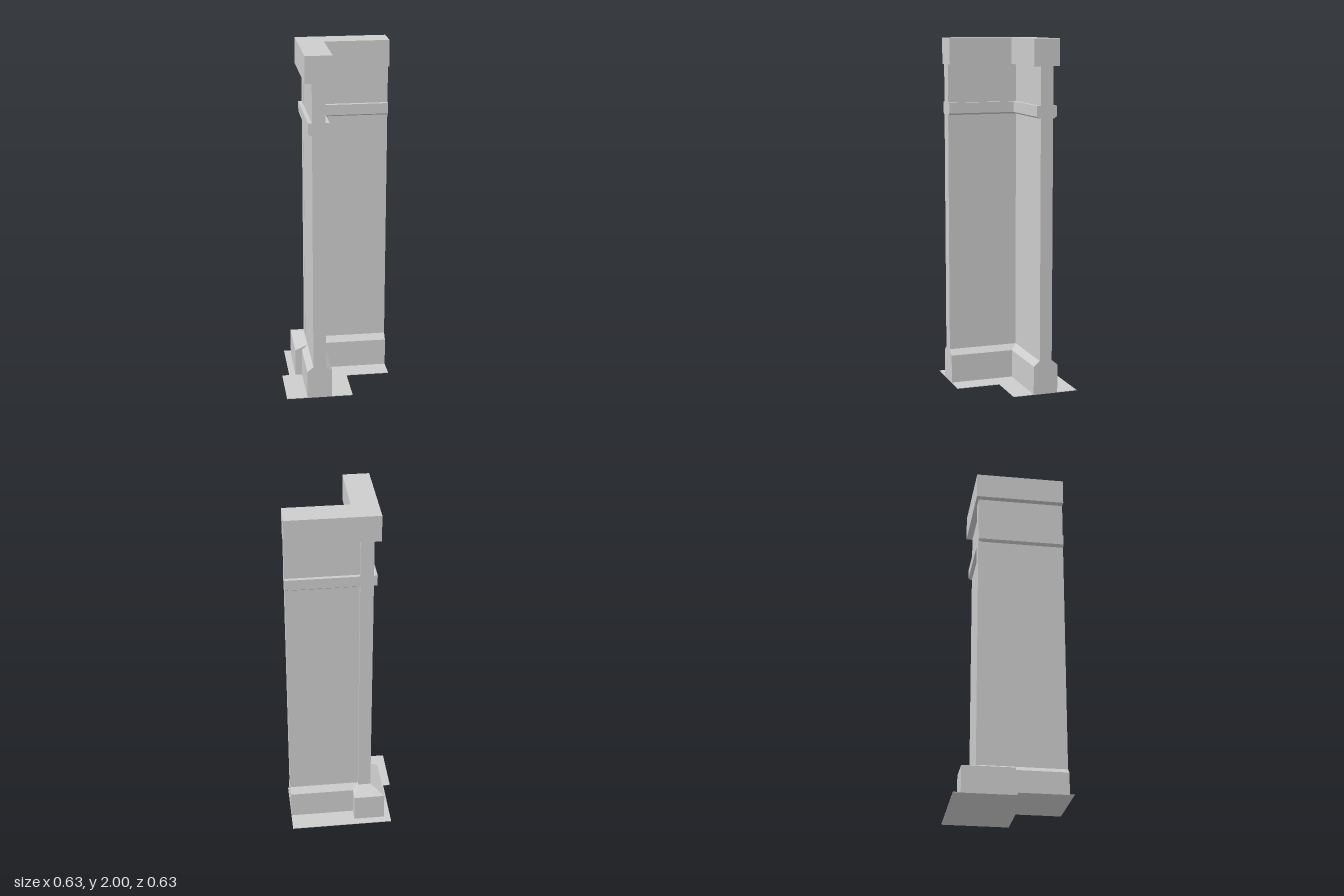
import * as THREE from 'three';

const END = 0.317; // open ends of both arms

// L-shaped ring: outer faces at x/z = a, inner faces at x/z = b
const ell = (y, a, b) => [[a, a], [END, a], [END, b], [b, b], [b, END], [a, END]].map(([x, z]) => [x, y, z]);
const rect = (y, x0, x1, z0, z1) => [[x0, y, z0], [x1, y, z0], [x1, y, z1], [x0, y, z1]];

// Skin a stack of matching rings (bottom to top) with flat faces and closed ends
function loft(rings) {
  const pos = [];
  const tri = (...pts) => pts.forEach((p) => pos.push(...p));
  const n = rings[0].length;
  for (let r = 0; r < rings.length - 1; r++) {
    const lo = rings[r], hi = rings[r + 1];
    for (let i = 0; i < n; i++) {
      const j = (i + 1) % n;
      tri(lo[j], lo[i], hi[i]);
      tri(lo[j], hi[i], hi[j]);
    }
  }
  const bottom = rings[0], top = rings[rings.length - 1];
  for (let i = 1; i < n - 1; i++) {
    tri(bottom[0], bottom[i], bottom[i + 1]);
    tri(top[0], top[i + 1], top[i]);
  }
  const geo = new THREE.BufferGeometry();
  geo.setAttribute('position', new THREE.Float32BufferAttribute(pos, 3));
  geo.computeVertexNormals();
  return geo;
}

export function createModel() {
  const group = new THREE.Group();
  const stone = new THREE.MeshStandardMaterial({ color: 0xcccccc });
  stone.name = 'pale grey stone';

  const add = (name, rings) => {
    const mesh = new THREE.Mesh(loft(rings), stone);
    mesh.name = name;
    group.add(mesh);
  };
  const block = (name, x0, x1, y0, y1, z0, z1) =>
    add(name, [rect(y0, x0, x1, z0, z1), rect(y1, x0, x1, z0, z1)]);

  // Thin ground plates under the two arms
  block('groundPlateBack', -0.275, END, 0, 0.003, -END, 0.065);
  block('groundPlateFront', -END, 0.065, 0, 0.003, 0.02, END);

  // Corner wall, from plinth to coping
  add('plinth', [ell(0, -0.198, -0.055), ell(0.165, -0.198, -0.055), ell(0.195, -0.163, -0.091)]);
  add('wall', [ell(0.195, -0.163, -0.091), ell(1.85, -0.163, -0.091)]);
  add('beltCourse', [ell(1.565, -0.17, -0.085), ell(1.575, -0.184, -0.067), ell(1.635, -0.184, -0.067)]);
  add('coping', [ell(1.85, -0.2, -0.051), ell(2, -0.2, -0.051)]);

  // Corner post standing proud of the back face, on its own chamfered foot
  block('cornerPost', -0.164, -0.09, 0.195, 1.85, -0.185, -0.1);
  add('cornerFoot', [
    rect(0, -0.237, -0.057, -0.272, 0.02),
    rect(0.165, -0.237, -0.057, -0.272, 0.02),
    rect(0.195, -0.164, -0.0905, -0.185, 0.02),
  ]);

  return group;
}
